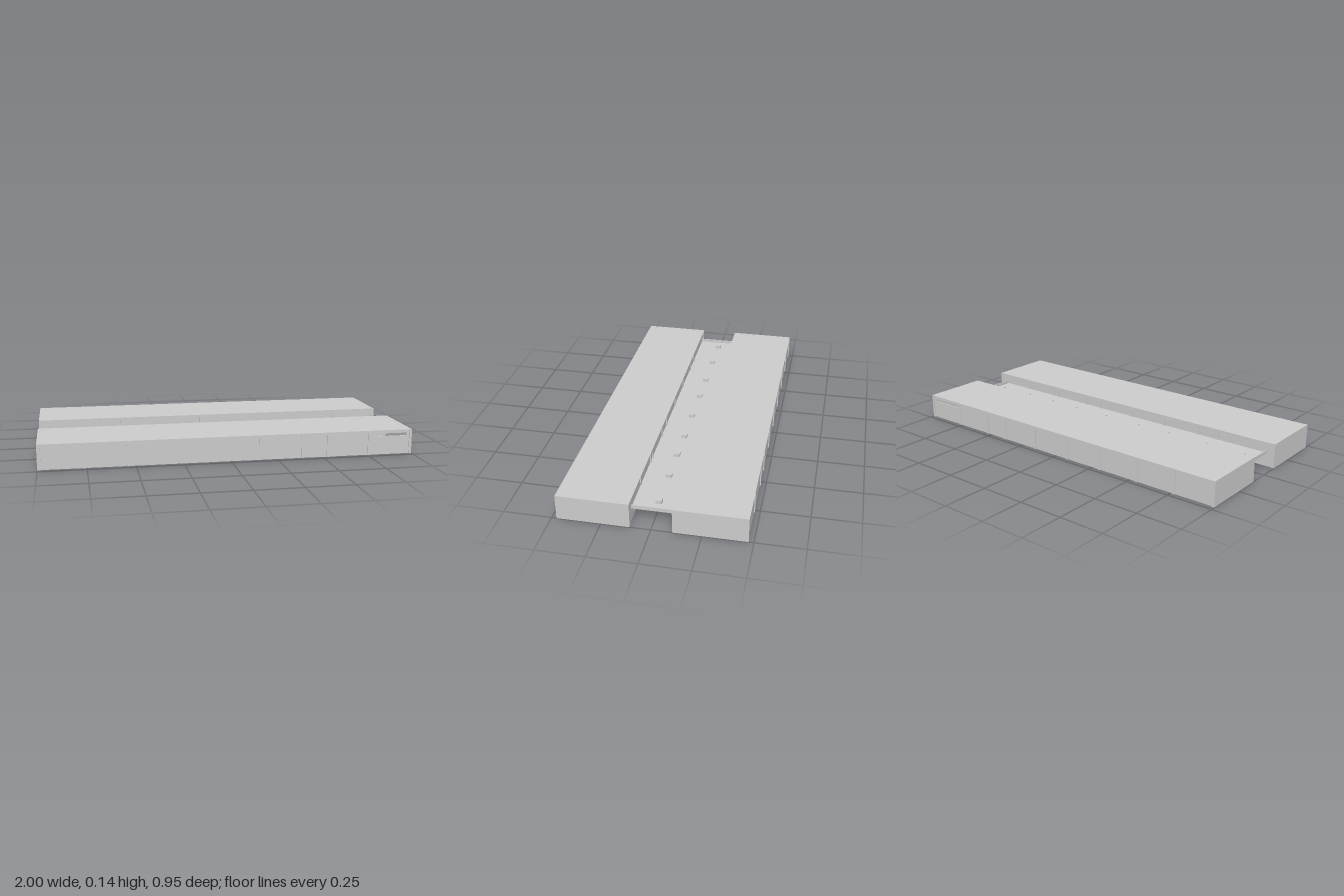
import * as THREE from 'three';

const H = 0.135, Z_IN = 0.105, Z_OUT = 0.475, T = 0.005;
const mat = new THREE.MeshStandardMaterial({ color: 0xcccccc, flatShading: true, side: THREE.DoubleSide });

// Box given by its limits on each axis
function box(name, x0, x1, y0, y1, z0, z1) {
  const g = new THREE.BoxGeometry(x1 - x0, y1 - y0, z1 - z0);
  g.translate((x0 + x1) / 2, (y0 + y1) / 2, (z0 + z1) / 2);
  const m = new THREE.Mesh(g, mat);
  m.name = name;
  return m;
}

// Upright wall along x with an optional slot cut through it
function wall(name, x0, x1, z, slot) {
  const rect = (P, a, b, c, d) => new P([[a, c], [b, c], [b, d], [a, d]].map(p => new THREE.Vector2(...p)));
  const s = rect(THREE.Shape, x0, x1, 0, H - T);
  if (slot) s.holes.push(rect(THREE.Path, ...slot));
  const m = new THREE.Mesh(new THREE.ExtrudeGeometry(s, { depth: T, bevelEnabled: false }), mat);
  m.name = name;
  m.position.z = z;
  return m;
}

// One long hall, open underneath, lying on the side s (+1 or -1) of the walkway
function hall(s) {
  const g = new THREE.Group();
  g.name = s > 0 ? 'frontHall' : 'backHall';
  const zBox = (name, x0, x1, y0, y1, a, b) =>
    g.add(box(name, x0, x1, y0, y1, Math.min(s * a, s * b), Math.max(s * a, s * b)));

  zBox('roof', -0.98, 1, H - T, H - 0.001, Z_IN, Z_OUT);
  zBox('roofEndStrip', -1, -0.978, H - T, H, Z_IN, Z_OUT);
  zBox('endWall', -1, -1 + T, 0, H - T, Z_IN, Z_OUT);
  zBox('endWall', 1 - T, 1, 0, H - T, Z_IN, Z_OUT);

  // Outer wall: recessed panels between posts, a vent slot in one end bay
  const zo = s > 0 ? Z_OUT - 0.01 : -Z_OUT + 0.01 - T;
  g.add(wall('outerWall', -1 + T, 1 - T, zo, [0.78, 0.97, 0.1, 0.115]));
  for (const x of [-0.765, -0.538, -0.3, -0.077, 0.157, 0.388, 0.53, 0.76])
    zBox('outerPost', x - 0.008, x + 0.008, 0, H - T, Z_OUT - 0.012, Z_OUT);
  for (const x of [-0.988, 0.994])
    zBox('cornerPost', x - 0.008, x + 0.006, 0, H - T, Z_OUT - 0.012, Z_OUT);
  zBox('outerBeam', -0.76, 0.76, 0.12, H - T, Z_OUT - 0.012, Z_OUT - 0.001);

  // Inner wall facing the walkway
  const zi = s > 0 ? Z_IN + 0.005 : -Z_IN - 0.005 - T;
  g.add(wall('innerWall', -1 + T, 1 - T, zi));
  for (const x of [-0.65, -0.53, -0.3, -0.07, 0.16, 0.27, 0.5, 0.54, 0.75])
    zBox('innerPost', x - 0.007, x + 0.007, 0, H - T, Z_IN, Z_IN + 0.007);
  for (const x of [-0.99, 0.99])
    zBox('innerCornerPost', x - 0.008, x + 0.008, 0, H - T, Z_IN, Z_IN + 0.007);
  zBox('innerBeam', -0.65, 0.75, 0.12, H - T, Z_IN + 0.001, Z_IN + 0.007);
  return g;
}

export function createModel() {
  const model = new THREE.Group();
  model.name = 'twinHallBuilding';
  model.add(hall(1), hall(-1));

  // Linking deck with end lips and a row of small roof units
  const deck = new THREE.Group();
  deck.name = 'linkDeck';
  const w = Z_IN + 0.005;
  deck.add(box('deckSlab', -0.955, 0.945, 0.072, 0.075, -w, w));
  deck.add(box('deckLip', -0.955, -0.951, 0.072, 0.093, -w, w));
  deck.add(box('deckLip', 0.941, 0.945, 0.072, 0.093, -w, w));
  for (const x of [-0.875, -0.645, -0.4, -0.195, 0.04, 0.265, 0.455, 0.65, 0.875])
    deck.add(box('roofUnit', x - 0.012, x + 0.012, 0.07, 0.093, -0.03, 0.002));
  model.add(deck);
  return model;
}
